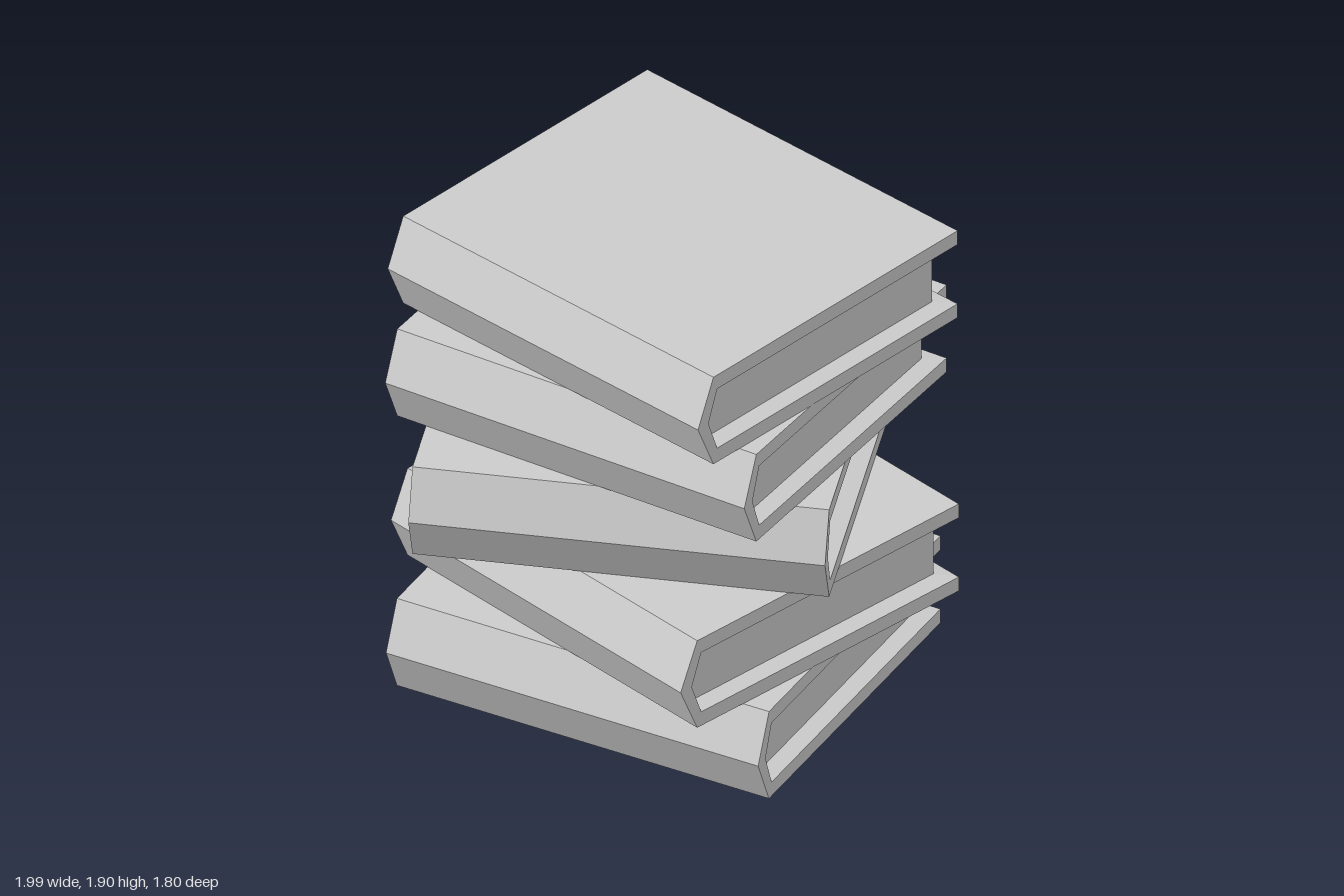
import * as THREE from 'three';

const W = 0.77, H = 0.1905, BACK = -0.6925;      // book half width, half height, back edge
const PAGE = { x: 0.7, y: 0.122, back: -0.6325, front: 0.585 };

// Hollow cover: two boards joined by a pointed spine, with inner faces sloping in to the pages
function coverGeometry() {
  const positions = [];
  const quad = (corners, sx, sy) => {
    const p = corners.map(([x, y, z]) => [x * sx, y * sy, z]);
    if (sx * sy < 0) p.reverse();
    for (const i of [0, 1, 2, 0, 2, 3]) positions.push(...p[i]);
  };

  // Outer edge, opening edge and recessed edge of the upper right quarter
  const outerBack = [W, H, BACK], outerSpine = [W, H, 0.61], outerTip = [W, 0, 0.6925];
  const openBack = [W, 0.13, BACK], openSpine = [W, 0.13, 0.59], openTip = [W, 0, 0.637];
  const pageBack = [PAGE.x, PAGE.y, PAGE.back];
  const pageFront = [PAGE.x, PAGE.y, PAGE.front], pageTip = [PAGE.x, 0, PAGE.front];
  const across = ([x, y, z]) => [-x, y, z];

  // Strips running the whole width, given as pairs of right-hand corners
  const strips = [
    [outerSpine, outerBack],   // board
    [outerTip, outerSpine],    // half of spine
    [outerBack, openBack],     // back rim
    [openBack, pageBack],      // back inner slope
  ];
  // Faces on each end of the book
  const ends = [
    [outerBack, outerSpine, openSpine, openBack],
    [outerSpine, outerTip, openTip, openSpine],
    [openBack, openSpine, pageFront, pageBack],
    [openSpine, openTip, pageTip, pageFront],
  ];

  for (const sy of [1, -1]) {
    for (const [a, b] of strips.slice(0, 2)) quad([across(a), a, b, across(b)], 1, sy);
    for (const [a, b] of strips.slice(2)) quad([a, b, across(b), across(a)], 1, sy);
    for (const sx of [1, -1]) for (const face of ends) quad(face, sx, sy);
  }

  const geometry = new THREE.BufferGeometry();
  geometry.setAttribute('position', new THREE.Float32BufferAttribute(positions, 3));
  geometry.computeVertexNormals();
  return geometry;
}

export function createModel() {
  const model = new THREE.Group();
  model.name = 'bookStack';
  const material = new THREE.MeshStandardMaterial({ color: 0xcccccc, flatShading: true });
  const cover = coverGeometry();
  const pages = new THREE.BoxGeometry(PAGE.x * 2, PAGE.y * 2, PAGE.front - PAGE.back);
  pages.translate(0, 0, (PAGE.front + PAGE.back) / 2);

  // Books from the bottom up: x, z, turn in degrees
  const books = [
    [-0.004, -0.01, 0],
    [0.0475, -0.004, -18.3],
    [-0.05, -0.004, 18.1],
    [0.006, -0.012, -3.5],
    [0.036, -0.008, -14.35],
  ];
  books.forEach(([x, z, turn], i) => {
    const book = new THREE.Group();
    book.name = `book${i + 1}`;
    for (const [name, geometry] of [['cover', cover], ['pages', pages]]) {
      const mesh = new THREE.Mesh(geometry, material);
      mesh.name = name;
      book.add(mesh);
    }
    book.position.set(x, H * (2 * i + 1), z);
    book.rotation.y = THREE.MathUtils.degToRad(turn);
    model.add(book);
  });
  return model;
}
